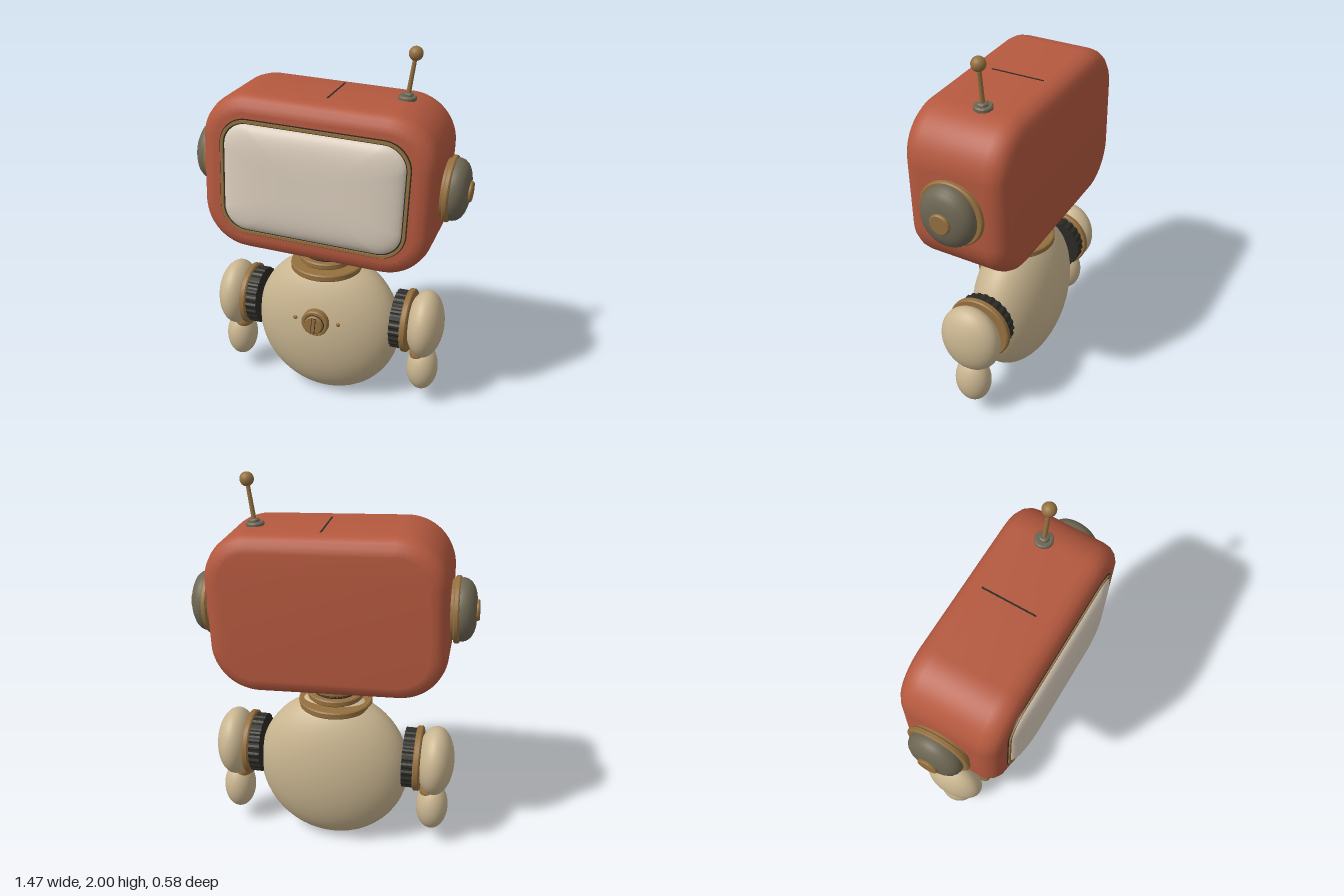
import * as THREE from 'three';
import { mergeVertices, toCreasedNormals } from 'three/addons/utils/BufferGeometryUtils.js';

const material = (name, color) => {
  const m = new THREE.MeshStandardMaterial({ color });
  m.name = name;
  return m;
};

export function createModel() {
  const red = material('red paint', 0xb5593f);
  const cream = material('cream shell', 0xc9b590);
  const glass = material('pale screen', 0xdbcebd);
  const bronze = material('bronze', 0x95703f);
  const olive = material('olive metal', 0x6d6653);
  const dark = material('dark rubber', 0x2b2a24);
  const model = new THREE.Group();
  model.name = 'robot';

  const add = (parent, name, geometry, mat, x = 0, y = 0, z = 0) => {
    const mesh = new THREE.Mesh(geometry, mat);
    mesh.name = name;
    mesh.position.set(x, y, z);
    parent.add(mesh);
    return mesh;
  };
  const ellipsoid = (rx, ry, rz) => new THREE.SphereGeometry(1, 48, 32).scale(rx, ry, rz);
  const lathe = (pairs) => toCreasedNormals(
    new THREE.LatheGeometry(pairs.map(([r, y]) => new THREE.Vector2(r, y)), 48).toNonIndexed(), 0.7);
  // disc with softened edges, resting on y = 0
  const disc = (r, h, b = 0.006) =>
    lathe([[0, 0], [r - b, 0], [r, b], [r, h - b], [r - b, h], [0, h]]);
  const roundedRect = (w, h, r, Type = THREE.Shape) => {
    const s = new Type(), x = w / 2 - r, y = h / 2 - r, q = Math.PI / 2;
    s.absarc(x, y, r, 0, q);
    s.absarc(-x, y, r, q, 2 * q);
    s.absarc(-x, -y, r, 2 * q, 3 * q);
    s.absarc(x, -y, r, 3 * q, 4 * q);
    s.closePath();
    return s;
  };

  // Head, tipped slightly to one side
  const head = new THREE.Group();
  head.name = 'head';
  head.position.set(0, 1.342, 0);
  head.rotation.z = -0.038;
  model.add(head);
  const bevel = 0.08;
  const shell = new THREE.ExtrudeGeometry(roundedRect(1.2 - 2 * bevel, 0.83 - 2 * bevel, 0.165), {
    depth: 0.35, bevelThickness: 0.09, bevelSize: bevel, bevelSegments: 4, curveSegments: 10,
  });
  add(head, 'headShell', toCreasedNormals(shell, 0.9), red, 0, 0, -0.2);
  add(head, 'topSeam', new THREE.BoxGeometry(0.008, 0.006, 0.28), dark, 0.012, 0.414, -0.05);

  // Screen frame: a dark gasket with a bronze rim on it
  const frame = (w, h, r, border, depth) => {
    const s = roundedRect(w, h, r);
    s.holes.push(roundedRect(w - 2 * border, h - 2 * border, r - border, THREE.Path));
    return new THREE.ExtrudeGeometry(s, { depth, bevelEnabled: false, curveSegments: 10 });
  };
  add(head, 'screenGasket', frame(0.972, 0.612, 0.142, 0.03, 0.007), dark, 0, 0, 0.237);
  add(head, 'screenRim', frame(0.962, 0.602, 0.137, 0.014, 0.014), bronze, 0, 0, 0.237);

  // Bulging screen from shrinking rounded loops
  const outline = roundedRect(0.926, 0.566, 0.12).getPoints(10);
  const n = outline.length, loops = 12, positions = [], index = [];
  for (let j = 0; j <= loops; j++) {
    const s = Math.cos((j / loops) * Math.PI / 2);
    for (const p of outline) positions.push(p.x * s, p.y * s, 0.238 + 0.055 * Math.sqrt(1 - s ** 4));
    for (let i = 0; j < loops && i < n; i++) {
      const a = j * n + i, b = j * n + (i + 1) % n;
      index.push(a, b, b + n, a, b + n, a + n);
    }
  }
  let dome = new THREE.BufferGeometry();
  dome.setAttribute('position', new THREE.Float32BufferAttribute(positions, 3));
  dome.setIndex(index);
  dome = mergeVertices(dome);
  dome.computeVertexNormals();
  add(head, 'screen', dome, glass);

  // Ears
  for (const side of [1, -1]) {
    const ear = new THREE.Group();
    ear.name = side > 0 ? 'leftEar' : 'rightEar';
    ear.position.set(side * 0.58, 0, -0.045);
    ear.rotation.z = -side * Math.PI / 2;
    head.add(ear);
    add(ear, 'earSpacer', disc(0.15, 0.05), bronze);
    add(ear, 'earRing', disc(0.168, 0.028), bronze, 0, 0.034);
    const cup = lathe([[0.158, 0], [0.16, 0.015], [0.153, 0.037], [0.137, 0.056],
      [0.112, 0.07], [0.08, 0.079], [0.04, 0.082], [0, 0.082]]);
    add(ear, 'earCup', cup, olive, 0, 0.06).scale.z = 0.9;
    add(ear, 'earCap', disc(0.053, 0.025), bronze, 0, 0.13);
  }

  // Antenna
  const antenna = new THREE.Group();
  antenna.name = 'antenna';
  antenna.position.set(0.38, 1.735, -0.072);
  antenna.rotation.z = -0.145;
  model.add(antenna);
  add(antenna, 'antennaBase', disc(0.046, 0.025), olive).rotation.z = 0.1;
  add(antenna, 'antennaSocket', disc(0.026, 0.04), olive);
  add(antenna, 'antennaRod', new THREE.CylinderGeometry(0.01, 0.012, 0.23, 16), bronze, 0, 0.115);
  add(antenna, 'antennaBall', new THREE.SphereGeometry(0.035, 24, 16), bronze, 0, 0.233);

  // Neck rings
  const neckX = -0.016, neckZ = -0.036;
  add(model, 'neckCore', new THREE.CylinderGeometry(0.115, 0.115, 0.16, 40), dark, neckX, 0.86, neckZ);
  for (const [r, y, h] of [[0.195, 0.782, 0.037], [0.125, 0.815, 0.02], [0.147, 0.828, 0.034],
    [0.115, 0.862, 0.014], [0.134, 0.88, 0.045]])
    add(model, 'neckRing', disc(r, h), bronze, neckX, y, neckZ);

  // Body
  const cx = -0.014, cz = -0.065;
  add(model, 'body', ellipsoid(0.408, 0.427, 0.22), cream, cx, 0.428, cz);

  // Chest dial with slot and two rivets
  const dial = new THREE.Group();
  dial.name = 'chestDial';
  dial.position.set(-0.018, 0.53, 0.13);
  dial.rotation.x = Math.PI / 2;
  model.add(dial);
  add(dial, 'dialBase', disc(0.075, 0.045), bronze);
  add(dial, 'dialGroove', disc(0.056, 0.047, 0.001), dark);
  add(dial, 'dialKnob', disc(0.052, 0.063), bronze);
  add(dial, 'dialSlot', new THREE.BoxGeometry(0.024, 0.004, 0.092), dark, 0, 0.062).rotation.y = -0.1;
  add(dial, 'dialKey', new THREE.BoxGeometry(0.017, 0.008, 0.085), bronze, 0, 0.062).rotation.y = -0.1;
  for (const x of [-0.122, 0.122])
    add(model, 'chestRivet', ellipsoid(0.012, 0.012, 0.008), bronze, -0.017 + x, 0.53, 0.139);

  // Arms, with a finely ribbed rubber shoulder
  for (const side of [1, -1]) {
    const arm = new THREE.Group();
    arm.name = side > 0 ? 'leftArm' : 'rightArm';
    arm.position.set(cx, 0, cz);
    model.add(arm);
    const across = (name, geometry, mat, x) => {
      add(arm, name, geometry, mat, side * x, 0.51, 0).rotation.z = -side * Math.PI / 2;
    };
    const ribs = new THREE.Shape();
    for (let i = 0; i < 96; i++) {
      const a = i / 96 * Math.PI * 2, r = i % 4 < 2 ? 0.16 : 0.154;
      ribs[i ? 'lineTo' : 'moveTo'](r * Math.cos(a), r * Math.sin(a));
    }
    const rubber = new THREE.ExtrudeGeometry(ribs, { depth: 0.07, bevelEnabled: false });
    across('shoulderRubber', rubber.rotateX(-Math.PI / 2), dark, 0.382);
    across('shoulderRing', disc(0.174, 0.034), bronze, 0.442);
    add(arm, 'upperArm', ellipsoid(0.1, 0.19, 0.166), cream, side * 0.549, 0.505, 0);
    add(arm, 'elbow', ellipsoid(0.055, 0.055, 0.07), bronze, side * 0.525, 0.325, 0);
    add(arm, 'forearm', ellipsoid(0.086, 0.137, 0.098), cream, side * 0.543, 0.227, -0.005);
  }
  return model;
}
